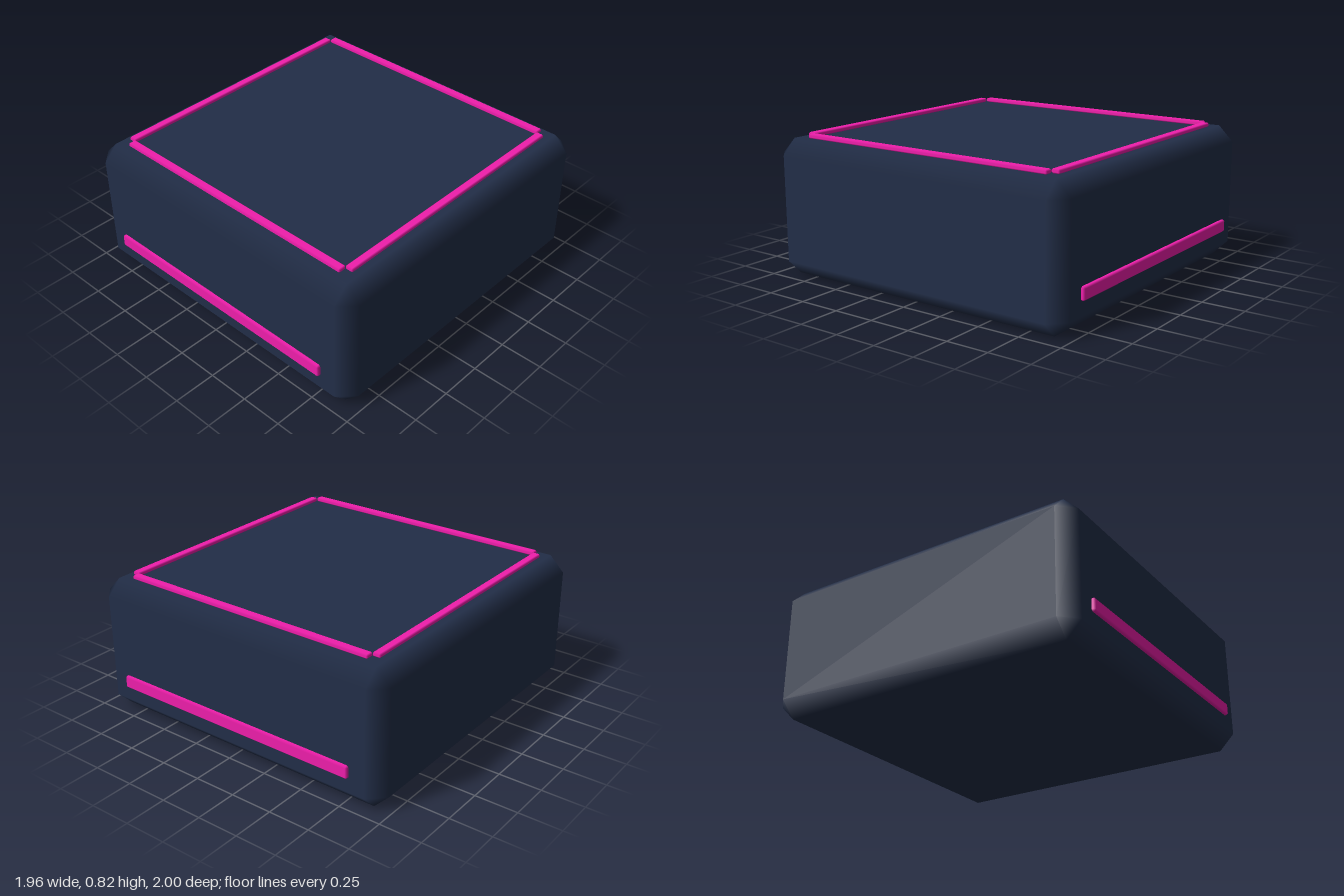
import * as THREE from 'three';
import { ConvexGeometry } from 'three/addons/geometries/ConvexGeometry.js';

// Box with single-step chamfers and normals that blend across them.
function chamferedBox(w, h, d, c) {
  const half = [w / 2, h / 2, d / 2];
  const points = [];
  for (const sx of [-1, 1]) for (const sy of [-1, 1]) for (const sz of [-1, 1]) {
    for (let axis = 0; axis < 3; axis++) {
      const p = half.map((v, i) => (i === axis ? v : v - c));
      points.push(new THREE.Vector3(p[0] * sx, p[1] * sy, p[2] * sz));
    }
  }
  const geometry = new ConvexGeometry(points);
  const pos = geometry.attributes.position;
  const normal = geometry.attributes.normal;
  // Each corner lies on exactly one main face and takes that face's normal.
  for (let i = 0; i < pos.count; i++) {
    const p = [pos.getX(i), pos.getY(i), pos.getZ(i)];
    const n = p.map((v, k) => (Math.abs(v) > half[k] - c / 2 ? Math.sign(v) : 0));
    normal.setXYZ(i, n[0], n[1], n[2]);
  }
  return geometry;
}

export function createModel() {
  const model = new THREE.Group();
  model.name = 'platform';
  const navy = new THREE.MeshStandardMaterial({ color: 0x222e48 });
  const pink = new THREE.MeshStandardMaterial({ color: 0xf01eac });

  function add(name, size, chamfer, position, material) {
    const mesh = new THREE.Mesh(chamferedBox(...size, chamfer), material);
    mesh.name = name;
    mesh.position.set(...position);
    model.add(mesh);
  }

  // Main block
  add('body', [1.96, 0.8, 1.96], 0.09, [0, 0.4, 0], navy);

  // Glowing trim: a square on top and a strip low on the front and back
  for (const s of [-1, 1]) {
    const end = s > 0 ? 'front' : 'back';
    const side = s > 0 ? 'left' : 'right';
    add(`${end}TopTrim`, [1.63, 0.025, 0.05], 0.008, [0, 0.812, s * 0.835], pink);
    add(`${side}TopTrim`, [0.05, 0.025, 1.63], 0.008, [s * 0.835, 0.812, 0], pink);
    add(`${end}Strip`, [1.59, 0.075, 0.04], 0.01, [0, 0.212, s * 0.98], pink);
  }
  return model;
}
